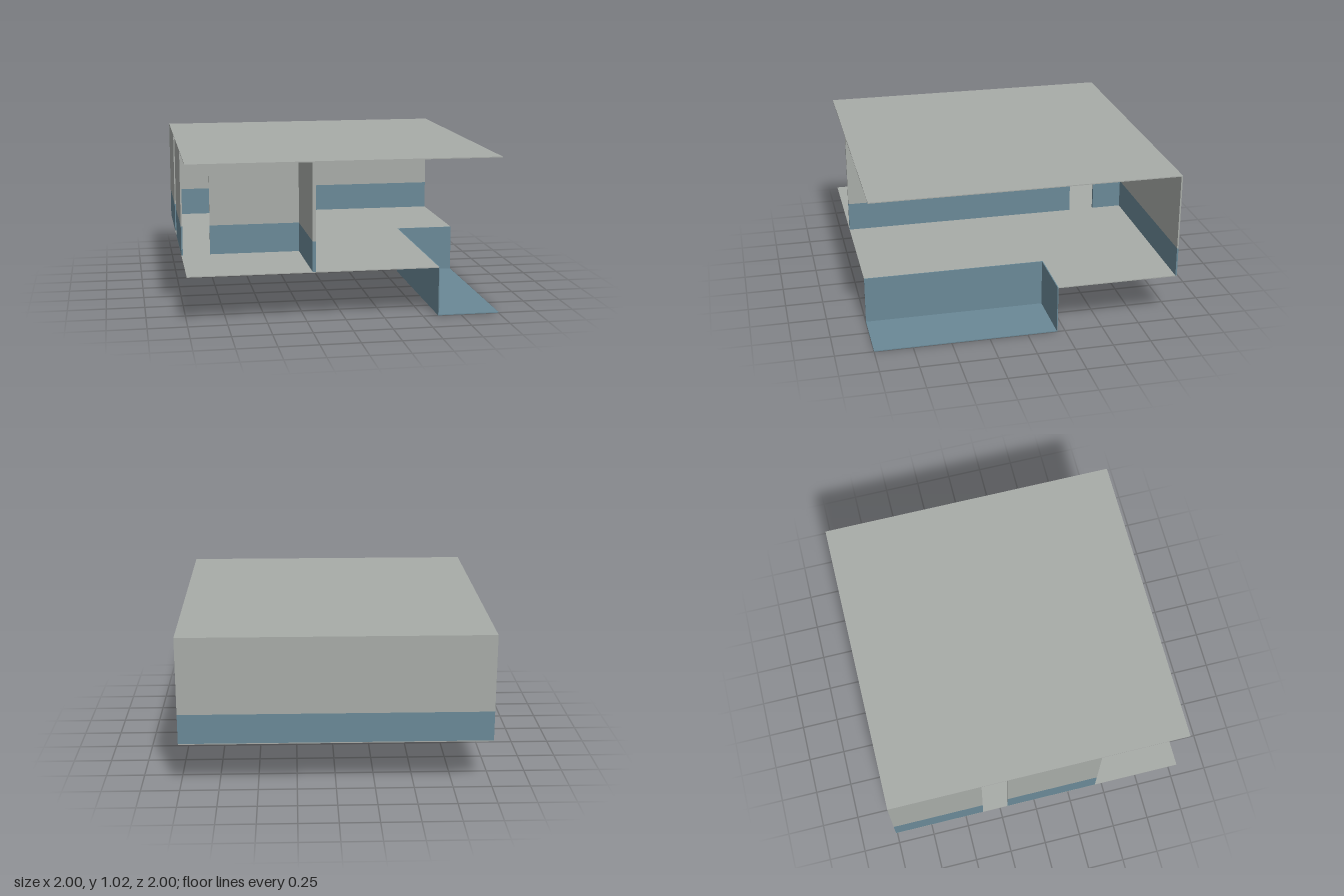
import * as THREE from 'three';

export function createModel() {
  const model = new THREE.Group();
  model.name = 'openPavilion';
  const grey = new THREE.MeshStandardMaterial({ color: 0xa8aca8 });
  grey.name = 'plaster grey';
  const blue = new THREE.MeshStandardMaterial({ color: 0x6a8997 });
  blue.name = 'slate blue';

  const FLOOR = 0.32, SPLIT = 0.515, ROOF = 1.02;
  const SLAB = 0.006, OUTER = 0.01, INNER = 0.02;

  // Box given by its two opposite corners
  function block(parent, name, material, [x0, y0, z0], [x1, y1, z1]) {
    const mesh = new THREE.Mesh(new THREE.BoxGeometry(x1 - x0, y1 - y0, z1 - z0), material);
    mesh.position.set((x0 + x1) / 2, (y0 + y1) / 2, (z0 + z1) / 2);
    mesh.name = name;
    parent.add(mesh);
  }

  // Wall with a blue base band and a grey upper part
  function wall(name, x0, x1, z0, z1) {
    const group = new THREE.Group();
    group.name = name;
    block(group, name + 'Base', blue, [x0, FLOOR, z0], [x1, SPLIT, z1]);
    block(group, name + 'Upper', grey, [x0, SPLIT, z0], [x1, ROOF - SLAB, z1]);
    model.add(group);
  }

  // Roof slab
  block(model, 'roof', grey, [-1, ROOF - SLAB, -1], [1, ROOF, 1]);

  // Floor slab, notched at the front corner for the sunken area
  const outline = new THREE.Shape([[-1, -1], [1, -1], [1, -0.2], [0.6, -0.2], [0.6, 1], [-1, 1]]
    .map(([x, z]) => new THREE.Vector2(x, -z)));
  const floorGeometry = new THREE.ExtrudeGeometry(outline, { depth: SLAB, bevelEnabled: false });
  floorGeometry.rotateX(-Math.PI / 2);
  const floor = new THREE.Mesh(floorGeometry, grey);
  floor.position.y = FLOOR - SLAB;
  floor.name = 'floor';
  model.add(floor);

  // Sunken area: bottom and two side walls, open at the front and outer side
  block(model, 'sunkenFloor', blue, [0.6, 0, -0.2], [1, SLAB, 1]);
  block(model, 'sunkenSideWall', blue, [0.6, SLAB, -0.2], [0.6 + SLAB, FLOOR, 1]);
  block(model, 'sunkenBackWall', blue, [0.6 + SLAB, SLAB, -0.2], [1, FLOOR, -0.2 + SLAB]);

  // Long partition with a doorway near the back
  const px0 = -0.2 - INNER / 2 - 0.004, px1 = px0 + INNER;
  wall('partitionRear', px0, px1, -1, -0.787);
  wall('partitionFront', px0, px1, -0.61, 1);

  // Back wall, on both sides of the partition
  wall('backWallRight', -1, px0, -1, -1 + OUTER);
  wall('backWallLeft', px1, 1, -1, -1 + OUTER);

  // Outer side wall with a doorway in its middle
  wall('sideWallRear', -1, -1 + OUTER, -1 + OUTER, -0.387);
  wall('sideWallFront', -1, -1 + OUTER, -0.213, 0.41);

  // Front wall of the small room, with a doorway at its outer end
  wall('roomFrontWall', -0.81, px0, 0.4, 0.41);

  return model;
}
